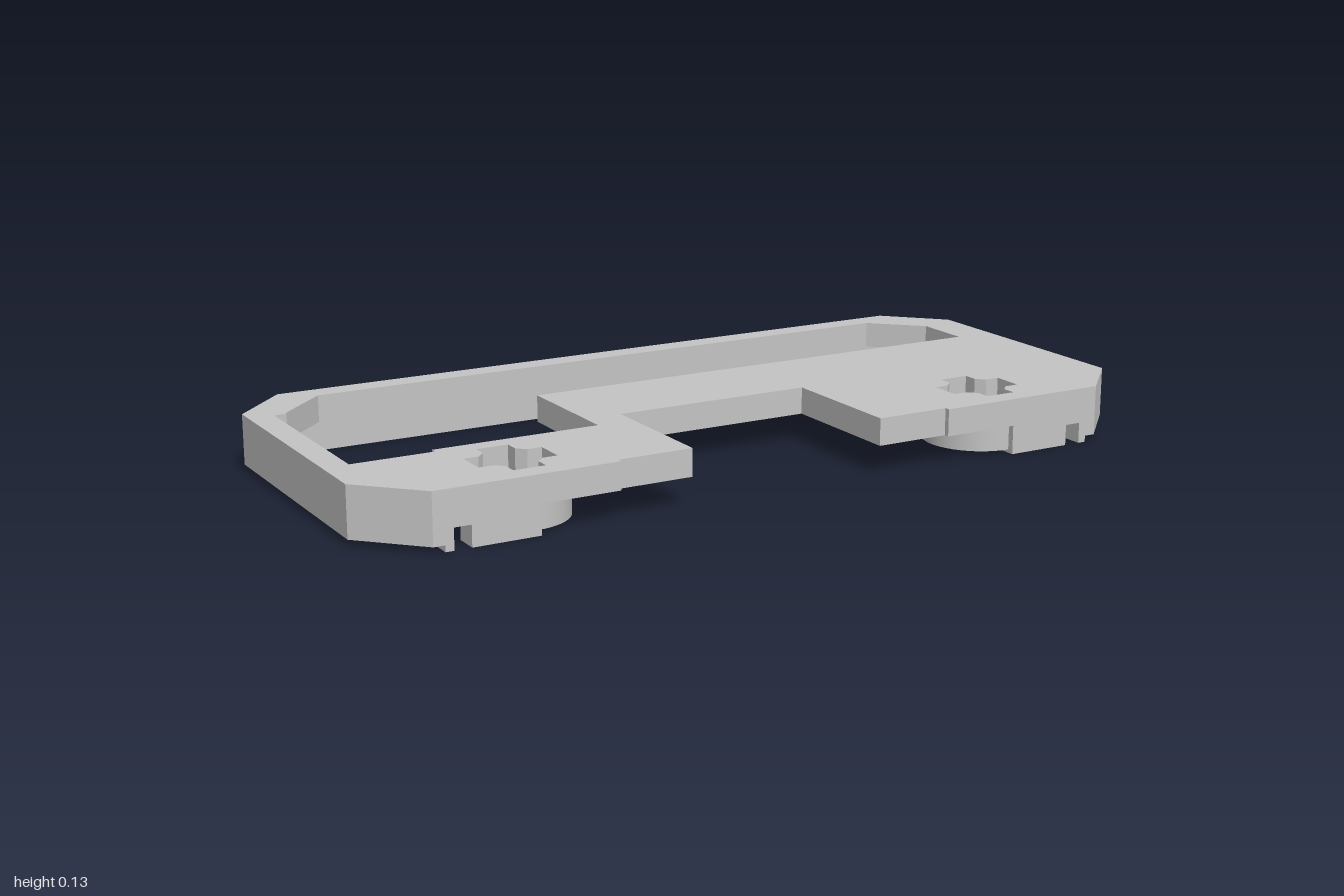
import * as THREE from 'three';

const plastic = new THREE.MeshStandardMaterial({ color: 0xc4c4c4 });
plastic.name = 'grey plastic';

// Points are [x, z] seen from above; the solid spans y0..y1.
// Outer loops are kept counter-clockwise so that hole walls face the opening.
function outline(pts) {
  const loop = pts.map(([x, z]) => new THREE.Vector2(x, -z));
  return THREE.ShapeUtils.isClockWise(loop) ? loop.reverse() : loop;
}

function slab(name, pts, y0, y1, holes = []) {
  const shape = new THREE.Shape(outline(pts));
  holes.forEach((h) => shape.holes.push(new THREE.Path(outline(h))));
  const geo = new THREE.ExtrudeGeometry(shape, { depth: y1 - y0, bevelEnabled: false });
  geo.rotateX(-Math.PI / 2).translate(0, y0, 0);
  const mesh = new THREE.Mesh(geo, plastic);
  mesh.name = name;
  return mesh;
}

const rect = (x0, x1, z0, z1) => [[x0, z0], [x1, z0], [x1, z1], [x0, z1]];

// Cross-shaped socket with chamfered inner corners
function cross(cx, cz) {
  const pts = [];
  const quarter = [[0.093, -0.038], [0.093, 0.038], [0.058, 0.038], [0.038, 0.058]];
  for (let i = 0; i < 4; i++) {
    const c = Math.round(Math.cos(i * Math.PI / 2)), s = Math.round(Math.sin(i * Math.PI / 2));
    quarter.forEach(([x, z]) => pts.push([cx + x * c - z * s, cz + x * s + z * c]));
  }
  return pts;
}

function circle(cx, cz, r, n = 48) {
  return Array.from({ length: n }, (_, i) => {
    const a = i / n * Math.PI * 2;
    return [cx + r * Math.cos(a), cz + r * Math.sin(a)];
  });
}

export function createModel() {
  const model = new THREE.Group();
  model.name = 'bracketFrame';
  const TOP = 0.135, UNDER = 0.07, SLOT = 0.05, BASE = 0.015;
  const CX = 0.62, CZ = 0.309;

  // Top plate with front notch, large window and two cross sockets
  const plate = [
    [-1, -0.32], [-0.867, -0.455], [0.867, -0.455], [1, -0.32], [1, 0.32], [0.867, 0.455],
    [0.43, 0.455], [0.43, 0.442], [0.247, 0.442], [0.247, 0.112], [-0.247, 0.112], [-0.247, 0.442],
    [-0.43, 0.442], [-0.43, 0.455], [-0.867, 0.455], [-1, 0.32],
  ];
  const windowHole = [
    [-0.787, -0.397], [0.783, -0.397], [0.9, -0.285], [0.9, -0.138], [-0.337, -0.138], [-0.337, 0.172],
    [-0.742, 0.172], [-0.742, 0.188], [-0.94, 0.188], [-0.94, -0.273], [-0.91, -0.273], [-0.91, -0.28],
  ];
  model.add(slab('topPlate', plate, UNDER, TOP, [windowHole, cross(-CX, CZ), cross(CX, CZ)]));

  // Back wall below the plate
  model.add(slab('backWallUpper', rect(-0.82, 0.82, -0.455, -0.397), SLOT, UNDER));
  model.add(slab('backWallLower', rect(-0.78, 0.78, -0.455, -0.397), 0, SLOT));

  for (const s of [-1, 1]) {
    const side = s > 0 ? 'left' : 'right';
    const mirror = (pts) => pts.map(([x, z]) => [s * x, z]);
    // Thin side wall with chamfered corners
    model.add(slab(side + 'SideWall', mirror([
      [0.82, -0.455], [0.867, -0.455], [1, -0.32], [1, 0.32], [0.867, 0.455], [0.82, 0.455],
      [0.82, 0.397], [0.881, 0.397], [0.97, 0.308], [0.97, -0.308], [0.881, -0.397], [0.82, -0.397],
    ]), BASE, UNDER));
    model.add(slab(side + 'FrontWallUpper', mirror(rect(CX, 0.82, 0.397, 0.455)), SLOT, UNDER));
    model.add(slab(side + 'FrontWallLower', mirror(rect(CX, 0.78, 0.397, 0.455)), 0, SLOT));
    // Small feet beside the slots, and the web closing the back slot
    model.add(slab(side + 'FrontFoot', mirror(rect(0.82, 0.84, 0.397, 0.455)), 0, BASE));
    model.add(slab(side + 'BackFoot', mirror(rect(0.82, 0.84, -0.455, -0.397)), 0, BASE));
    model.add(slab(side + 'BackSlotWeb', mirror(rect(0.78, 0.82, -0.412, -0.397)), 0, SLOT));

    // Round boss around the socket, smooth on the outside
    const boss = slab(side + 'Boss', circle(s * CX, CZ, 0.13), 0.008, UNDER, [cross(s * CX, CZ)]);
    const pos = boss.geometry.attributes.position, nor = boss.geometry.attributes.normal;
    for (let i = 0; i < pos.count; i++) {
      const dx = pos.getX(i) - s * CX, dz = pos.getZ(i) - CZ, r = Math.hypot(dx, dz);
      if (r > 0.125 && Math.abs(nor.getY(i)) < 0.5) nor.setXYZ(i, dx / r, 0, dz / r);
    }
    model.add(boss);
  }
  return model;
}
